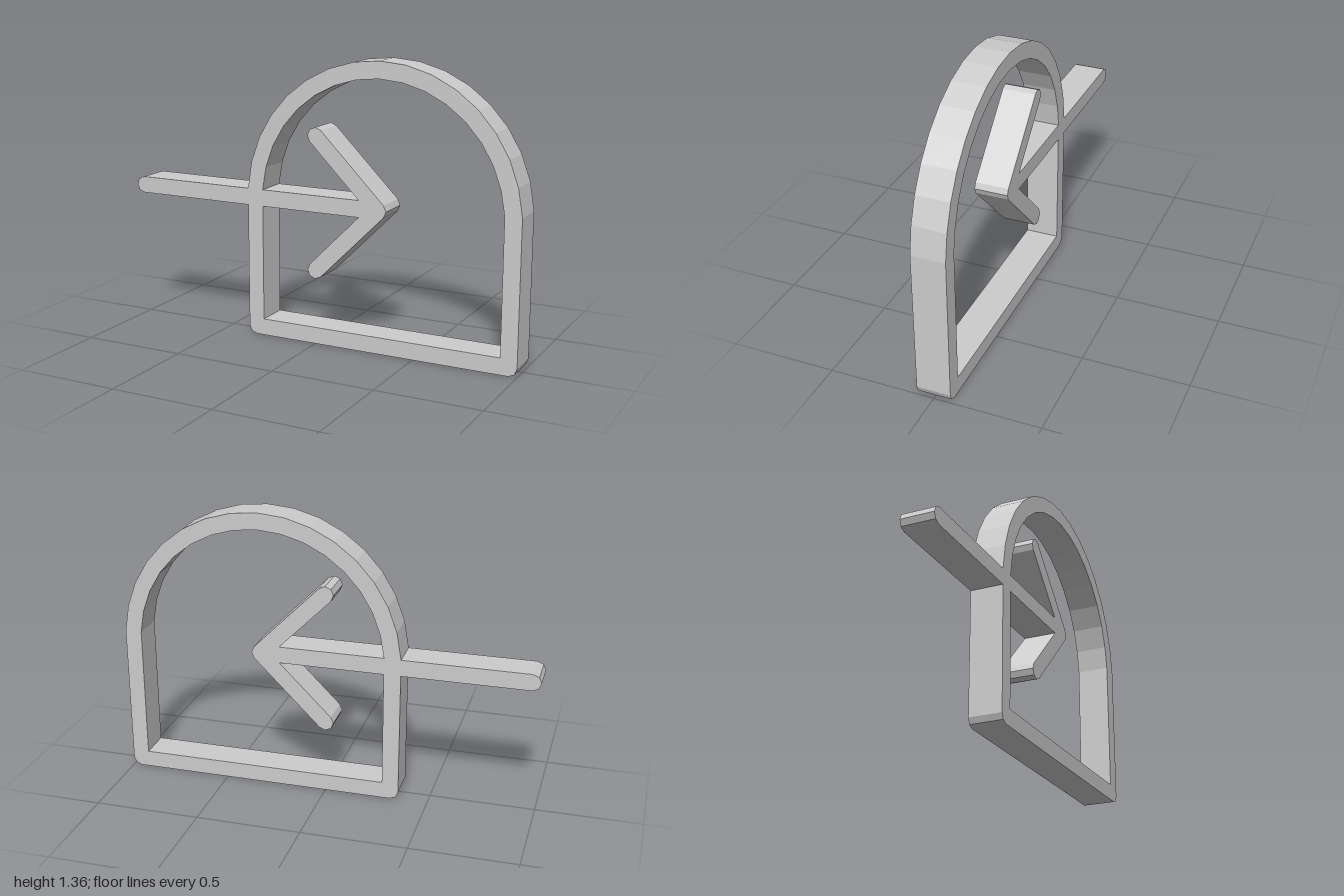
import * as THREE from 'three';

const DEPTH = 0.16;
const HALF = 0.04; // half the stroke width
const MID = 0.68; // height of the shaft and of the arch centre

// Points on an arc, angles in degrees
function arc(cx, cy, r, from, to, segments) {
  const points = [];
  for (let i = 0; i <= segments; i++) {
    const a = THREE.MathUtils.degToRad(from + ((to - from) * i) / segments);
    points.push(new THREE.Vector2(cx + r * Math.cos(a), cy + r * Math.sin(a)));
  }
  return points;
}

const pt = (x, y) => new THREE.Vector2(x, y);

export function createModel() {
  const group = new THREE.Group();
  const grey = new THREE.MeshStandardMaterial({ color: 0xcccccc });
  grey.name = 'light grey';

  function addPlate(name, outline, hole) {
    const shape = new THREE.Shape(outline);
    if (hole) shape.holes.push(new THREE.Path(hole));
    const geometry = new THREE.ExtrudeGeometry(shape, { depth: DEPTH, bevelEnabled: false });
    geometry.translate(0, 0, -DEPTH / 2);
    const mesh = new THREE.Mesh(geometry, grey);
    mesh.name = name;
    group.add(mesh);
  }

  // Arched frame with rounded bottom corners
  const archX = 0.32, outer = 0.68, inner = 0.6, lift = 3.75;
  addPlate('archFrame', [
    ...arc(archX - outer + HALF, HALF, HALF, 180, 270, 2),
    ...arc(archX + outer - HALF, HALF, HALF, 270, 360, 2),
    pt(archX + outer, 0.72),
    ...arc(archX, MID, outer, lift, 180 - lift, 16).slice(1, -1),
    pt(archX - outer, 0.72),
  ], [
    pt(archX - inner, 2 * HALF),
    pt(archX + inner, 2 * HALF),
    pt(archX + inner, 0.72),
    ...arc(archX, MID, inner, lift, 180 - lift, 16).slice(1, -1),
    pt(archX - inner, 0.72),
  ]);

  // Shaft outside the frame, with a rounded end
  addPlate('arrowTail', [
    pt(archX - outer, MID - HALF),
    pt(archX - outer, MID + HALF),
    ...arc(-0.96, MID, HALF, 90, 270, 4),
  ]);

  // Shaft inside the frame and the two rounded barbs of the head
  const crotch = archX - HALF * (1 + Math.SQRT2);
  addPlate('arrowHead', [
    ...arc(archX, MID, HALF, -45, 45, 2),
    ...arc(0, MID + 0.32, HALF, 45, 225, 4),
    pt(crotch, MID + HALF),
    pt(archX - inner, MID + HALF),
    pt(archX - inner, MID - HALF),
    pt(crotch, MID - HALF),
    ...arc(0, MID - 0.32, HALF, 135, 315, 4),
  ]);

  return group;
}
